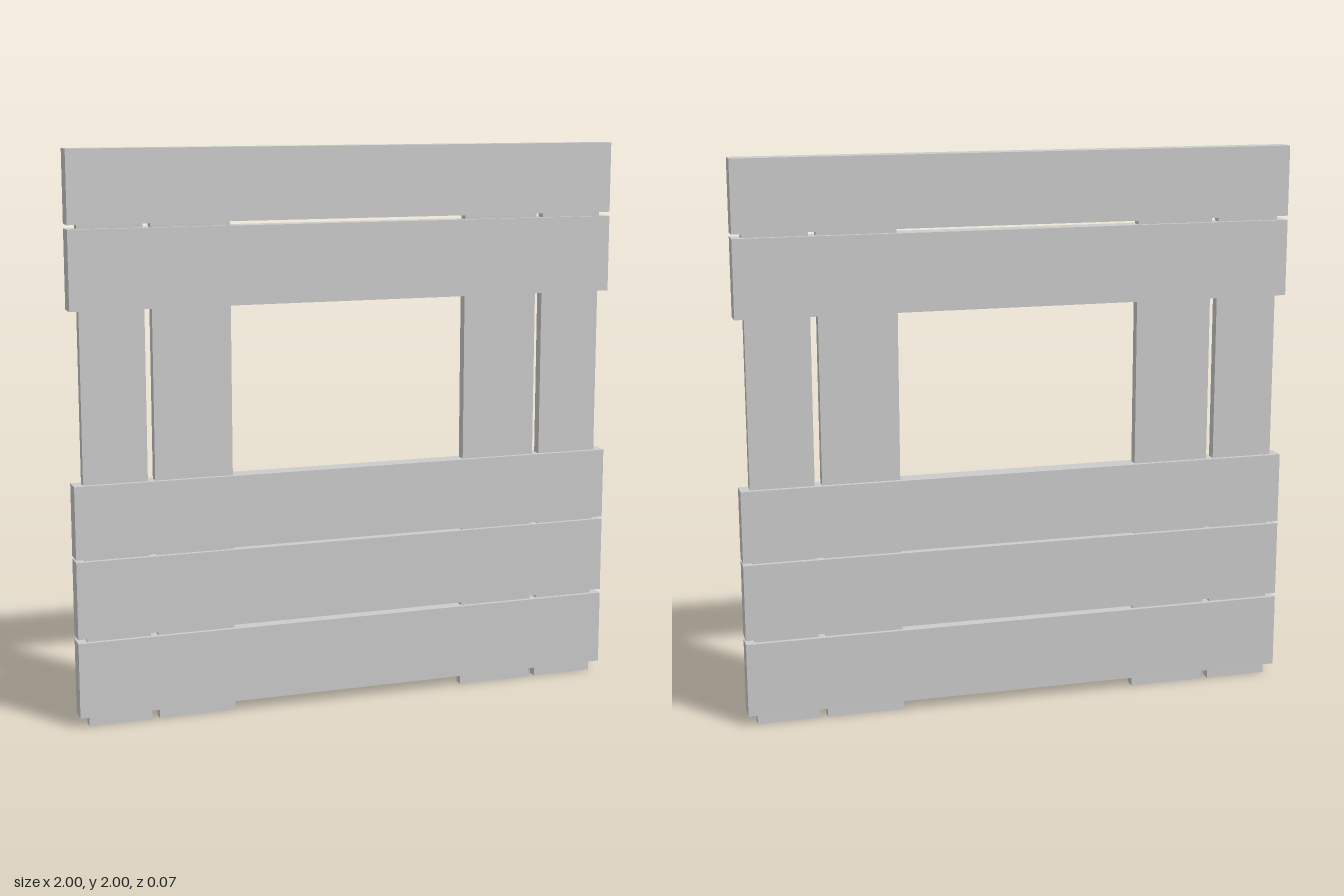
import * as THREE from 'three';

export function createModel() {
  const group = new THREE.Group();
  const material = new THREE.MeshStandardMaterial({ color: 0xcccccc, flatShading: true });

  // Box plank given by its x and y limits and its thickness
  function plank(name, x0, x1, y0, y1, depth) {
    const mesh = new THREE.Mesh(new THREE.BoxGeometry(x1 - x0, y1 - y0, depth), material);
    mesh.name = name;
    mesh.position.set((x0 + x1) / 2, (y0 + y1) / 2, 0);
    group.add(mesh);
  }

  // Thick horizontal boards, bottom to top, leaving a window opening
  const boards = [
    [0.037, 0.306], [0.321, 0.595], [0.604, 0.861],
    [1.46, 1.734], [1.749, 2],
  ];
  boards.forEach(([y0, y1], i) => plank(`horizontalBoard${i + 1}`, -1, 1, y0, y1, 0.07));

  // Thinner upright planks, mirrored on both sides of the opening
  const uprights = [['inner', 0.436, 0.714], ['outer', 0.74, 0.966]];
  for (const [name, x0, x1] of uprights) {
    plank(`${name}UprightLeft`, x0, x1, 0, 1.96, 0.037);
    plank(`${name}UprightRight`, -x1, -x0, 0, 1.96, 0.037);
  }

  return group;
}
